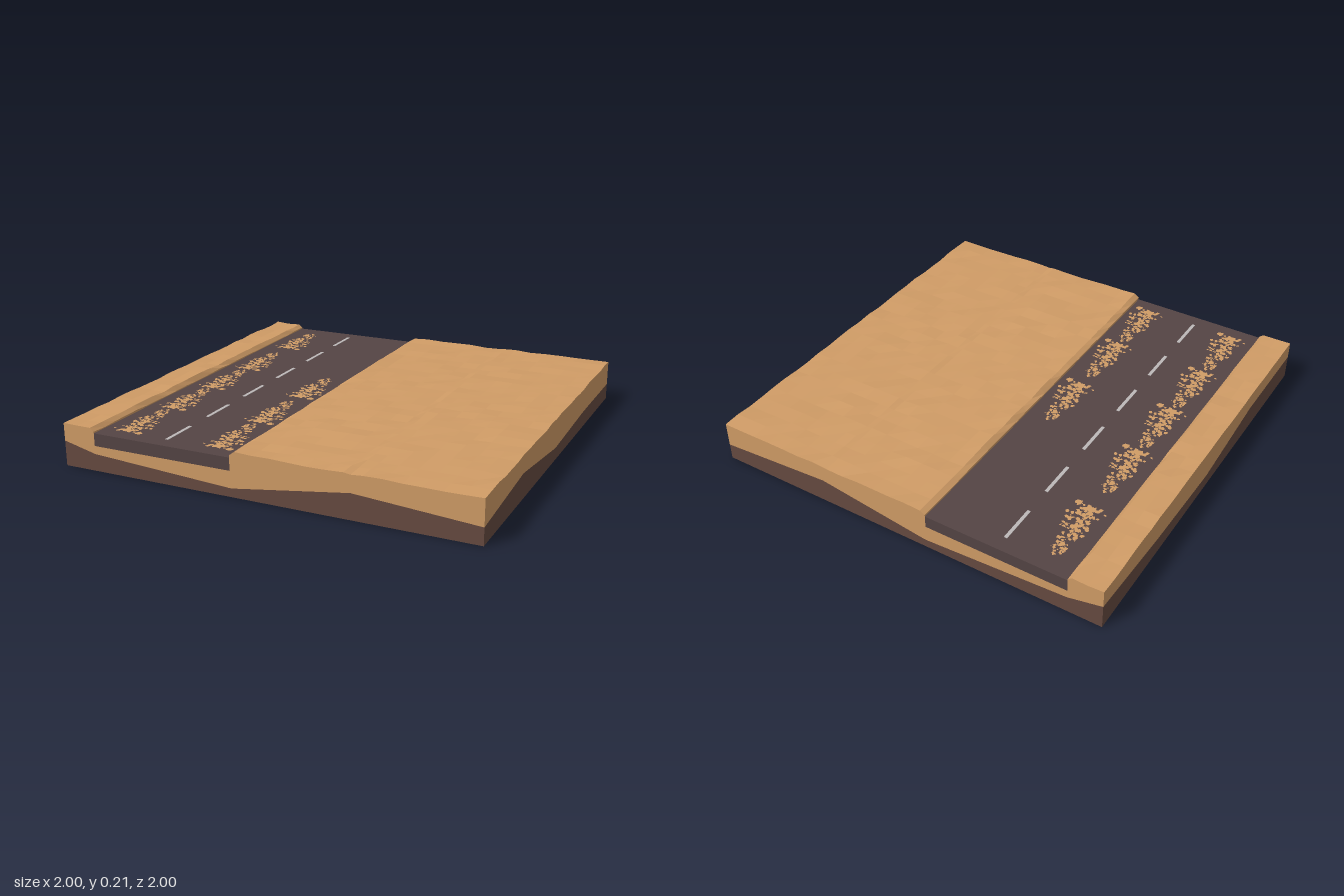
import * as THREE from 'three';
import { mergeGeometries } from 'three/addons/utils/BufferGeometryUtils.js';

const SAND = 0xd09c66, SOIL = 0x664a40, ASPHALT = 0x544444, PAINT = 0xbdb8b8;
const ROAD_L = -0.835, ROAD_R = -0.135, ROAD_TOP = 0.18, TRENCH = 0.12;

function seeded(seed) {
  return () => {
    seed = (seed * 16807) % 2147483647;
    return seed / 2147483647;
  };
}

function makeMesh(name, geometry, color) {
  const material = new THREE.MeshStandardMaterial({ color, flatShading: true, side: THREE.DoubleSide });
  const mesh = new THREE.Mesh(geometry, material);
  mesh.name = name;
  return mesh;
}

// Skin between successive polylines of [x, y, z] points
function skin(lines, flip = false) {
  const n = lines[0].length, index = [];
  for (let i = 0; i < lines.length - 1; i++) {
    for (let j = 0; j < n - 1; j++) {
      const a = i * n + j, b = a + 1, c = a + n, d = c + 1;
      if (flip) index.push(a, c, b, b, c, d);
      else index.push(a, b, c, b, d, c);
    }
  }
  const geometry = new THREE.BufferGeometry();
  geometry.setAttribute('position', new THREE.Float32BufferAttribute(lines.flat(2), 3));
  geometry.setIndex(index);
  const flat = geometry.toNonIndexed();
  flat.computeVertexNormals();
  return flat;
}

// Linear interpolation along [position, height] pairs
function profile(points, t) {
  for (let i = 1; i < points.length; i++) {
    const [t0, h0] = points[i - 1], [t1, h1] = points[i];
    if (t <= t1) return h0 + (h1 - h0) * (t - t0) / (t1 - t0);
  }
  return points[points.length - 1][1];
}

// Four walls around the tile, each between a lower and an upper edge line
function walls(edges) {
  return mergeGeometries([
    skin([edges.front.low, edges.front.high]),
    skin([edges.back.low, edges.back.high], true),
    skin([edges.left.low, edges.left.high], true),
    skin([edges.right.low, edges.right.high]),
  ]);
}

// One drift of small irregular sand flakes, widening towards +z
function driftGeometry() {
  const rand = seeded(4711), flakes = [];
  for (let k = 0; k < 150; k++) {
    const t = Math.pow(rand(), 0.75);
    const spread = 0.035 + 0.055 * Math.min(1, t * 1.3);
    const x = (rand() + rand() - 1) * spread + 0.015 * t;
    const z = -0.17 + 0.34 * t;
    const size = 0.003 + 0.011 * rand() * (0.4 + 0.6 * t);
    const turn = rand() * Math.PI, points = [];
    for (let i = 0; i < 6; i++) {
      const a = i * Math.PI / 3, r = size * (0.5 + 0.8 * rand());
      points.push(new THREE.Vector2(Math.cos(a) * r * 1.4, Math.sin(a) * r));
    }
    const flake = new THREE.ShapeGeometry(new THREE.Shape(points));
    flakes.push(flake.rotateX(-Math.PI / 2).rotateY(turn).translate(x, 0, z));
  }
  return mergeGeometries(flakes);
}

export function createModel() {
  const group = new THREE.Group();
  group.name = 'desertRoadTile';
  const rand = seeded(90210);

  // Columns across the tile: [x, height, roughness], with the road trench cut in
  const columns = [
    [-1, 0.203, 0.004], [-0.925, 0.202, 0.004], [-0.855, 0.203, 0.004], [ROAD_L, 0.186, 0.003],
    [ROAD_L, TRENCH, 0], [ROAD_R, TRENCH, 0], [ROAD_R, 0.19, 0.003], [-0.11, 0.205, 0.005],
  ];
  for (let i = 0; i <= 12; i++) columns.push([-0.03 + i * 1.03 / 12, 0.203, 0.004]);
  columns.splice(13, 0, [0.43, 0.203, 0.004]);
  columns.sort((a, b) => a[0] - b[0]);

  // Sand surface
  const rows = 24;
  const top = columns.map(([x, y, rough]) =>
    Array.from({ length: rows + 1 }, (_, j) => [x, y + rough * (2 * rand() - 1), -1 + 2 * j / rows]));
  group.add(makeMesh('sandSurface', skin(top), SAND));

  // Boundary between sand and soil on the four sides
  const across = [[-1, 0.12], [-0.83, 0.08], [-0.13, 0.04], [0.43, 0.12], [1, 0.08]];
  const alongRight = [[-1, 0.08], [-0.5, 0.08], [0, 0.06], [0.5, 0.12], [1, 0.08]];
  const alongLeft = [[-1, 0.12], [-0.5, 0.08], [0, 0.06], [0.5, 0.12], [1, 0.12]];
  const high = {
    front: top.map(line => line[rows]),
    back: top.map(line => line[0]),
    left: top[0],
    right: top[top.length - 1],
  };
  const sandEdges = {}, soilEdges = {};
  for (const side of Object.keys(high)) {
    const seam = high[side].map(([x, , z]) => {
      if (side === 'left') return [x, profile(alongLeft, z), z];
      if (side === 'right') return [x, profile(alongRight, z), z];
      return [x, profile(across, x), z];
    });
    sandEdges[side] = { low: seam, high: high[side] };
    soilEdges[side] = { low: seam.map(([x, , z]) => [x, 0, z]), high: seam };
  }
  group.add(makeMesh('sandSides', walls(sandEdges), SAND));
  group.add(makeMesh('soilSides', walls(soilEdges), SOIL));

  // Underside
  const base = new THREE.PlaneGeometry(2, 2).rotateX(Math.PI / 2);
  group.add(makeMesh('soilBase', base, SOIL));

  // Road slab
  const slab = new THREE.BoxGeometry(ROAD_R - ROAD_L, ROAD_TOP - TRENCH, 2);
  const road = makeMesh('road', slab, ASPHALT);
  road.position.set((ROAD_L + ROAD_R) / 2, (ROAD_TOP + TRENCH) / 2, 0);
  group.add(road);

  // Centre line dashes
  for (let i = 0; i < 6; i++) {
    const dash = makeMesh('laneDash', new THREE.BoxGeometry(0.016, 0.002, 0.19), PAINT);
    dash.position.set(-0.495, ROAD_TOP + 0.001, -0.832 + i / 3);
    group.add(dash);
  }

  // Sand blown onto both lanes
  const drift = driftGeometry();
  const places = [
    [-0.72, -0.745], [-0.72, -0.305], [-0.72, 0.05], [-0.72, 0.4], [-0.72, 0.755],
    [-0.25, 0], [-0.25, 0.4], [-0.25, 0.755],
  ];
  for (const [x, z] of places) {
    const patch = makeMesh('sandDrift', drift, SAND);
    patch.position.set(x, ROAD_TOP + 0.003, z);
    group.add(patch);
  }
  return group;
}
